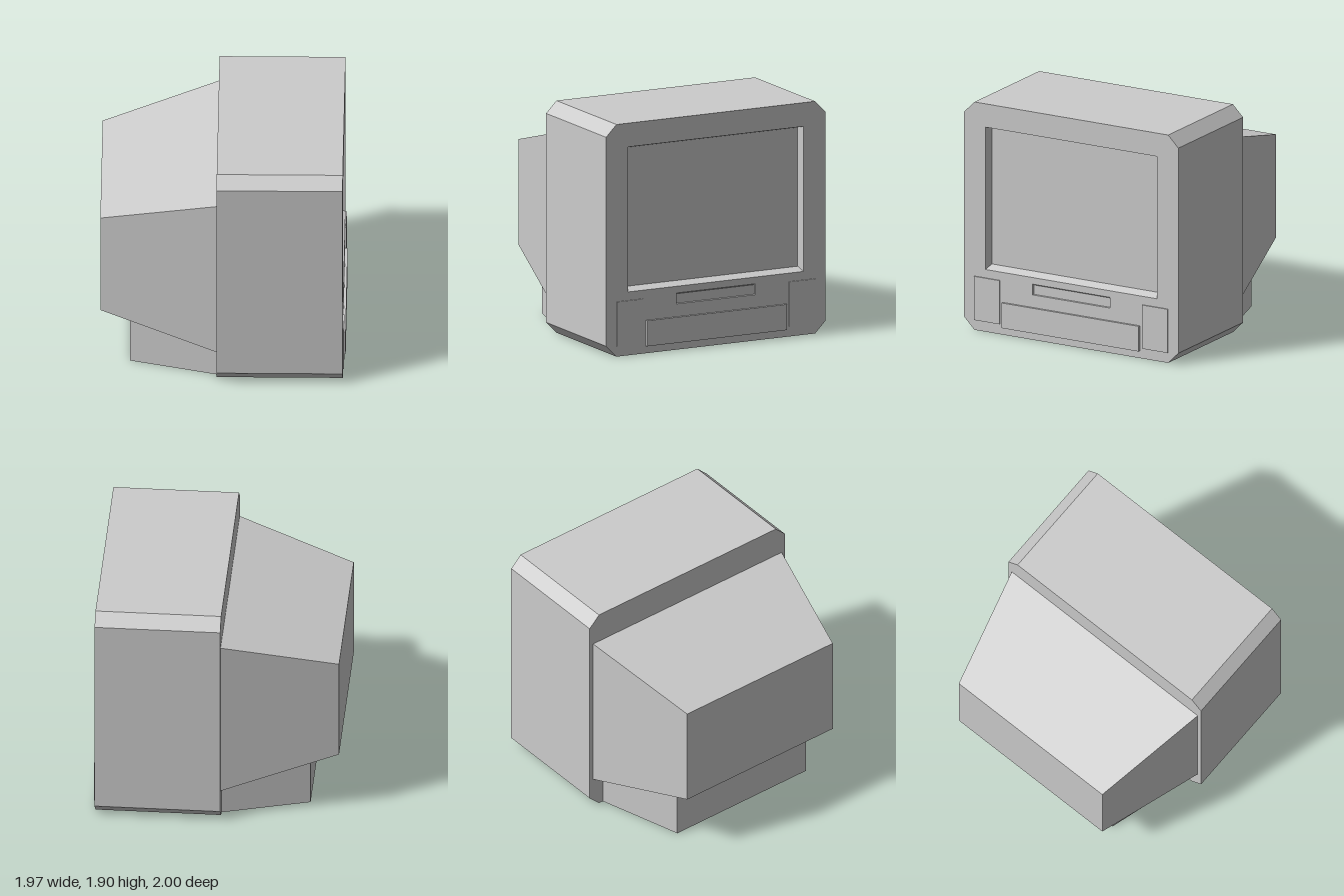
import * as THREE from 'three';

// Loops are [u, y] points, counter-clockwise seen from +x, with u = -z.
const rect = (u0, u1, y0, y1) => [[u0, y0], [u1, y0], [u1, y1], [u0, y1]];

// Joins loop a at xa to loop b at xb with flat faces; caps close the ends.
function loft(a, xa, b, xb, capA = true, capB = true) {
  const pos = [];
  const A = a.map(([u, y]) => [xa, y, -u]);
  const B = b.map(([u, y]) => [xb, y, -u]);
  const n = A.length;
  const tri = (p, q, r) => pos.push(...p, ...q, ...r);
  for (let i = 0; i < n; i++) {
    const j = (i + 1) % n;
    tri(A[i], A[j], B[j]);
    tri(A[i], B[j], B[i]);
  }
  for (let i = 1; i < n - 1; i++) {
    if (capA) tri(A[0], A[i + 1], A[i]);
    if (capB) tri(B[0], B[i], B[i + 1]);
  }
  const geo = new THREE.BufferGeometry();
  geo.setAttribute('position', new THREE.Float32BufferAttribute(pos, 3));
  geo.computeVertexNormals();
  return geo;
}

export function createModel() {
  const group = new THREE.Group();
  group.name = 'television';
  const grey = new THREE.MeshStandardMaterial({ color: 0xcccccc });
  grey.name = 'casing grey';
  const add = (name, geo) => {
    const mesh = new THREE.Mesh(geo, grey);
    mesh.name = name;
    group.add(mesh);
  };

  const back = -0.05, front = 0.96, top = 1.905, c = 0.095;

  // Main casing: box with four chamfered long edges
  const outline = [
    [-1 + c, 0], [1 - c, 0], [1, c], [1, top - c],
    [1 - c, top], [-1 + c, top], [-1, top - c], [-1, c],
  ];
  add('casing', loft(outline, back, outline, front, true, false));

  // Front face with openings for the screen and tape slot
  const screenOpening = rect(-0.8, 0.8, 0.52, 1.71);
  const slotOpening = rect(-0.36, 0.36, 0.375, 0.465);
  const toPoints = (loop) => loop.map(([u, y]) => new THREE.Vector2(u, y));
  const face = new THREE.Shape(toPoints(outline));
  for (const hole of [screenOpening, slotOpening]) face.holes.push(new THREE.Path(toPoints(hole)));
  add('frontFace', new THREE.ShapeGeometry(face).rotateY(Math.PI / 2).translate(front, 0, 0));

  // Sunken screen and slot
  add('screen', loft(screenOpening, front, rect(-0.79, 0.79, 0.548, 1.688), front - 0.08, false, true));
  add('tapeSlot', loft(slotOpening, front, rect(-0.357, 0.357, 0.378, 0.456), front - 0.012, false, true));

  // Raised panels below the screen
  const panel = (name, loop, x) => add(name, loft(loop, front, loop, x, false, true));
  panel('controlPanel', rect(-0.64, 0.64, 0.06, 0.27), 0.98);
  panel('speakerPanelLeft', rect(-0.905, -0.665, 0.085, 0.45), 0.97);
  panel('speakerPanelRight', rect(0.665, 0.905, 0.085, 0.45), 0.97);

  // Tapered tube housing at the rear
  add('tubeHousing', loft(rect(-0.745, 0.745, 0.525, 1.39), -0.985, rect(-0.965, 0.965, 0.27, 1.64), back, true, false));

  // Rear base, its top tucked inside the housing
  add('rearBase', loft(rect(-0.66, 0.66, 0, 0.48), -0.75, rect(-0.865, 0.865, 0, 0.29), back, true, false));

  return group;
}
